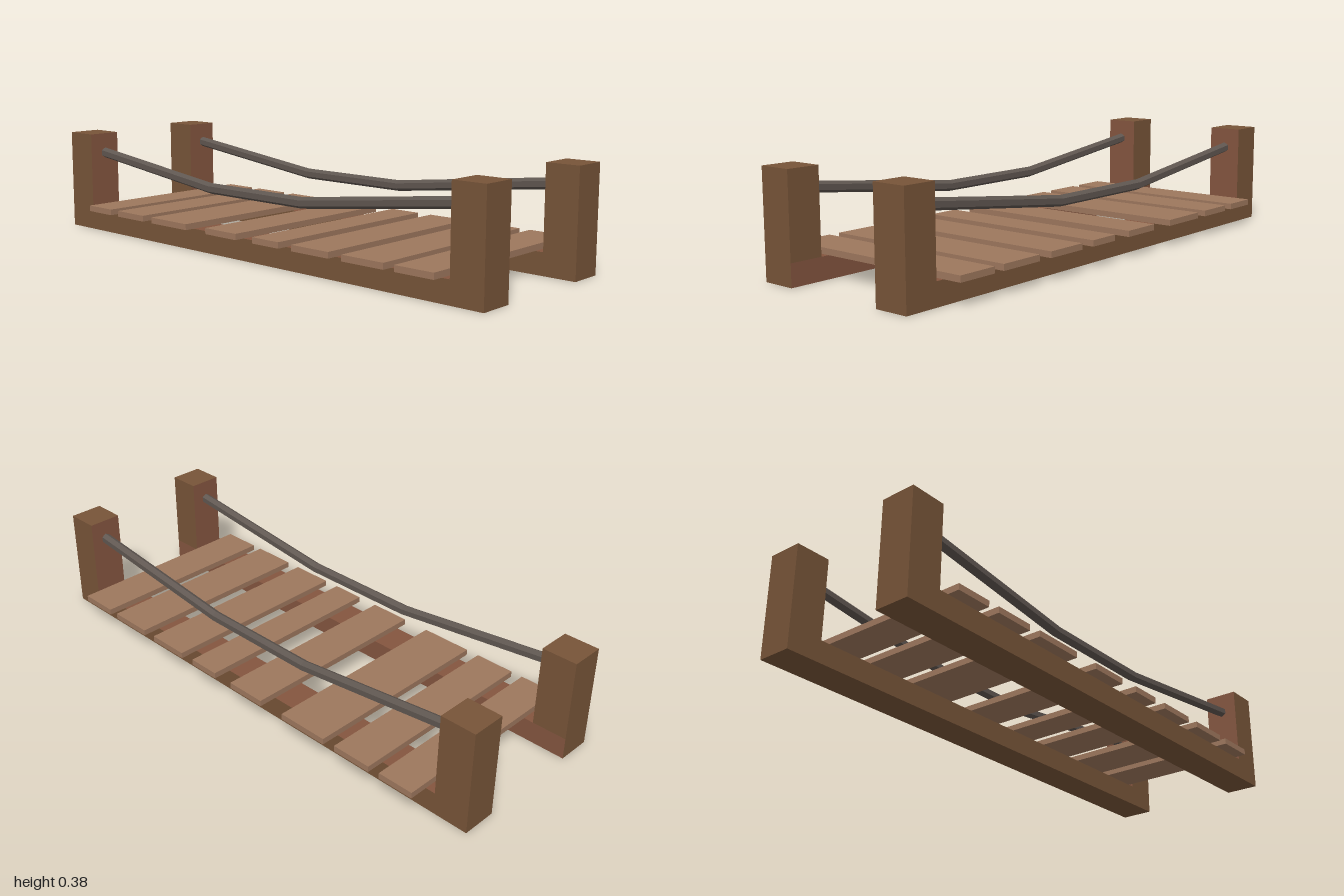
import * as THREE from 'three';

const paint = (color) => new THREE.MeshStandardMaterial({ color, flatShading: true });

export function createModel() {
  const group = new THREE.Group();
  const wood = paint(0x775438);
  const innerWood = paint(0x84553f);
  const plankWood = paint(0x9d775d);
  const ropeGrey = paint(0x5f5650);

  // Box from its limits; faces listed in 'inner' (+x -x +y -y +z -z) get the redder wood
  function box(name, [x0, x1], [y0, y1], [z0, z1], material, inner = []) {
    const geometry = new THREE.BoxGeometry(x1 - x0, y1 - y0, z1 - z0);
    const materials = inner.length
      ? [0, 1, 2, 3, 4, 5].map((i) => (inner.includes(i) ? innerWood : material))
      : material;
    const mesh = new THREE.Mesh(geometry, materials);
    mesh.name = name;
    mesh.position.set((x0 + x1) / 2, (y0 + y1) / 2, (z0 + z1) / 2);
    group.add(mesh);
  }

  // Six-sided rope: a straight bar sheared down to a sagging line
  const stations = [[-0.865, 0.302], [-0.235, 0.224], [0.22, 0.224], [0.878, 0.302]];
  function rope(name, z) {
    const geometry = new THREE.CylinderGeometry(0.02, 0.02, 3, 6, 3, false, Math.PI / 2);
    geometry.rotateZ(-Math.PI / 2);
    const p = geometry.attributes.position;
    for (let i = 0; i < p.count; i++) {
      const [x, y] = stations[Math.round(p.getX(i) + 1.5)];
      p.setXYZ(i, x, p.getY(i) + y, p.getZ(i));
    }
    geometry.computeVertexNormals();
    const mesh = new THREE.Mesh(geometry, ropeGrey);
    mesh.name = name;
    mesh.position.z = z;
    group.add(mesh);
  }

  // Each side: a beam, a post at both ends and a rope between them
  const sides = [
    { name: 'front', z: [0.209, 0.336], ropeZ: 0.273, inner: [2, 5] },
    { name: 'back', z: [-0.307, -0.179], ropeZ: -0.245, inner: [2] },
  ];
  for (const s of sides) {
    box(s.name + 'Beam', [-1, 1], [0, 0.08], s.z, wood, s.inner);
    box(s.name + 'RightPost', [-1, -0.87], [0.08, 0.378], s.z, wood, [0]);
    box(s.name + 'LeftPost', [0.877, 1], [0.08, 0.378], s.z, wood, [1]);
    rope(s.name + 'Rope', s.ropeZ);
  }

  // Deck planks of uneven width and spacing
  const planks = [
    [-0.835, -0.7], [-0.655, -0.505], [-0.455, -0.26], [-0.155, 0],
    [0.083, 0.207], [0.267, 0.43], [0.487, 0.658], [0.7, 0.85],
  ];
  planks.forEach((x, i) => box('plank' + (i + 1), x, [0.081, 0.103], [-0.378, 0.378], plankWood));

  return group;
}
